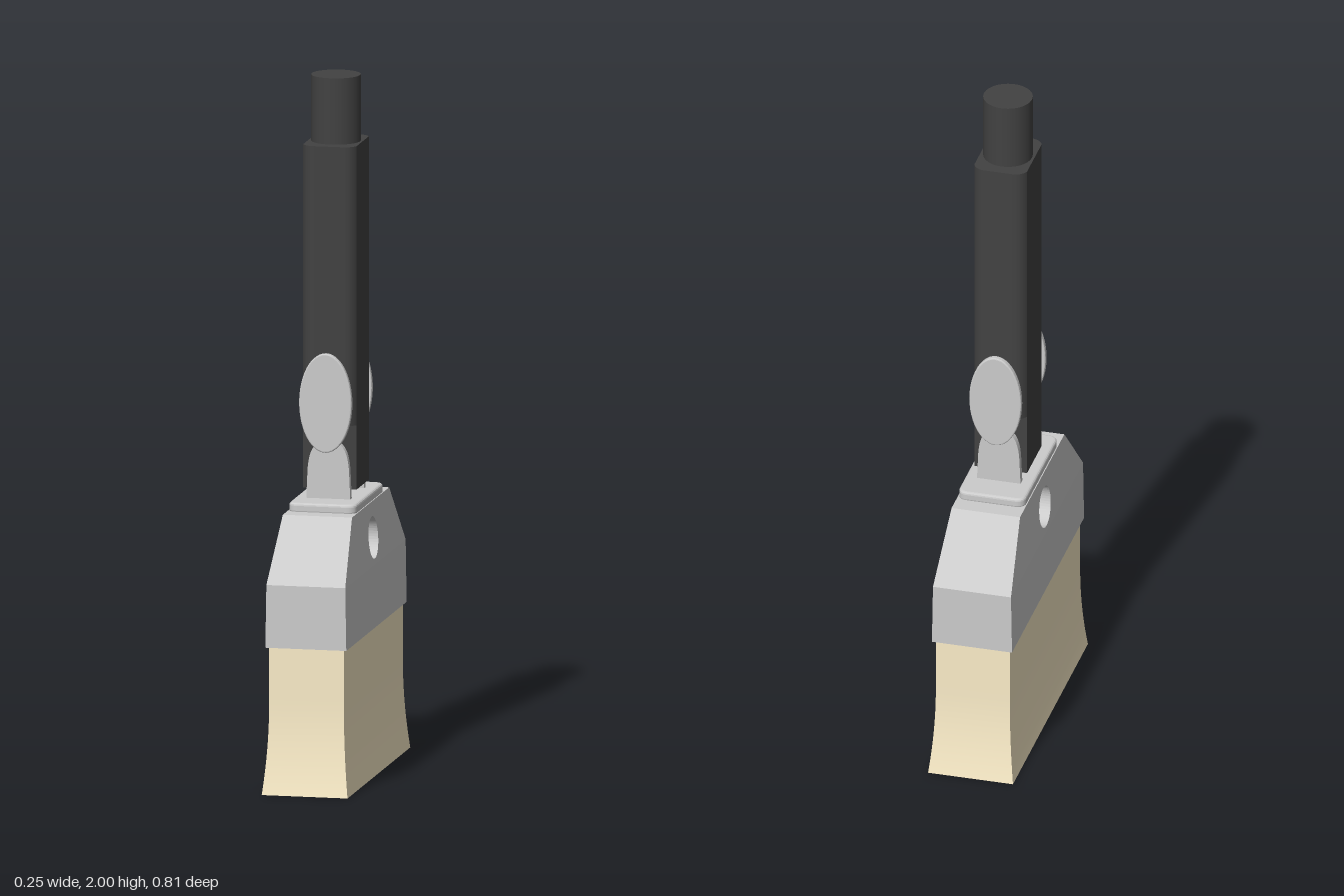
import * as THREE from 'three';

const metal = new THREE.MeshStandardMaterial({ color: 0xcccccc });
const dark = new THREE.MeshStandardMaterial({ color: 0x424242 });
const straw = new THREE.MeshStandardMaterial({ color: 0xfaecc8 });

function polygon(points) {
  return new THREE.Shape(points.map(([x, y]) => new THREE.Vector2(x, y)));
}

// Prism centred on its extrusion axis z
function prism(shape, depth, bevel = 0) {
  const g = new THREE.ExtrudeGeometry(shape, {
    depth: depth - 2 * bevel, curveSegments: 24, bevelEnabled: bevel > 0,
    bevelThickness: bevel, bevelSize: bevel, bevelOffset: -bevel, bevelSegments: 3,
  });
  return g.translate(0, 0, -depth / 2 + bevel);
}

function roundedRect(hx, hy, r) {
  const s = new THREE.Shape();
  s.moveTo(-hx + r, -hy);
  s.lineTo(hx - r, -hy).quadraticCurveTo(hx, -hy, hx, -hy + r);
  s.lineTo(hx, hy - r).quadraticCurveTo(hx, hy, hx - r, hy);
  s.lineTo(-hx + r, hy).quadraticCurveTo(-hx, hy, -hx, hy - r);
  s.lineTo(-hx, -hy + r).quadraticCurveTo(-hx, -hy, -hx + r, -hy);
  return s;
}

// Side-profile prism whose half thickness runs from a at y0 to b at y1
function taperedSide(shape, y0, y1, a, b) {
  const g = prism(shape, 2).rotateY(-Math.PI / 2);
  const p = g.attributes.position;
  for (let i = 0; i < p.count; i++) {
    const t = (p.getY(i) - y0) / (y1 - y0);
    p.setX(i, p.getX(i) * THREE.MathUtils.lerp(a, b, t));
  }
  g.computeVertexNormals();
  return g;
}

export function createModel() {
  const model = new THREE.Group();
  model.name = 'paintBrush';
  const add = (name, geometry, material, x = 0, y = 0, z = 0) => {
    const m = new THREE.Mesh(geometry, material);
    m.name = name;
    m.position.set(x, y, z);
    model.add(m);
    return m;
  };

  // Bristle block, flaring towards the tip
  const bristles = new THREE.BoxGeometry(2, 0.44, 2, 1, 24, 1).translate(0, 0.22, 0);
  const p = bristles.attributes.position;
  for (let i = 0; i < p.count; i++) {
    const flare = Math.max(0, 1 - p.getY(i) / 0.26) ** 2;
    p.setX(i, p.getX(i) * (0.108 + 0.016 * flare));
    p.setZ(i, p.getZ(i) * (0.381 + 0.025 * flare));
  }
  bristles.computeVertexNormals();
  add('bristles', bristles, straw);

  // Ferrule: straight band below, tapered shoulders with a hanging hole above
  const band = polygon([[-0.39, 0.42], [0.39, 0.42], [0.39, 0.6], [-0.39, 0.6]]);
  add('ferruleBand', taperedSide(band, 0.42, 0.6, 0.117, 0.114), metal);
  const shoulders = polygon([[-0.39, 0.6], [0.39, 0.6], [0.24, 0.775], [-0.24, 0.775]]);
  shoulders.holes.push(new THREE.Path().absarc(0, 0.675, 0.06, 0, Math.PI * 2, true));
  add('ferruleShoulders', taperedSide(shoulders, 0.6, 0.775, 0.114, 0.1), metal);

  // Mounting plate
  const plate = prism(roundedRect(0.098, 0.188, 0.03), 0.03, 0.008).rotateX(-Math.PI / 2);
  add('mountingPlate', plate, metal, 0, 0.785, 0);

  // Handle grip: flat sides with rounded front and back corners
  const grip = new THREE.Shape();
  grip.moveTo(-0.077, -0.08);
  grip.quadraticCurveTo(-0.065, -0.104, -0.04, -0.104).lineTo(0.04, -0.104);
  grip.quadraticCurveTo(0.065, -0.104, 0.077, -0.08).lineTo(0.077, 0.08);
  grip.quadraticCurveTo(0.065, 0.104, 0.04, 0.104).lineTo(-0.04, 0.104);
  grip.quadraticCurveTo(-0.065, 0.104, -0.077, 0.08).lineTo(-0.077, -0.08);
  add('handleGrip', prism(grip, 0.8).rotateX(-Math.PI / 2), dark, 0, 1.41, 0);
  add('handleCore', new THREE.BoxGeometry(0.154, 0.2, 0.158), dark, 0, 0.925, 0);
  add('handleEnd', new THREE.CylinderGeometry(0.07, 0.07, 0.2, 48), dark, 0, 1.9, 0);

  // Lug outline with a narrowed, rounded top
  const lug = new THREE.Shape();
  lug.moveTo(-0.064, 0.79);
  lug.lineTo(0.064, 0.79).lineTo(0.06, 0.88);
  lug.quadraticCurveTo(0.057, 0.93, 0.04, 0.95).quadraticCurveTo(0.025, 0.97, 0, 0.97);
  lug.quadraticCurveTo(-0.025, 0.97, -0.04, 0.95).quadraticCurveTo(-0.057, 0.93, -0.06, 0.88);
  const oval = new THREE.Shape().absellipse(0, 0, 0.076, 0.142, 0, Math.PI * 2, false, 0);

  // Lugs and oval wing tabs, front and back
  for (const [side, s] of [['front', 1], ['back', -1]]) {
    add(side + 'Lug', prism(lug, 0.02), metal, 0, 0, s * 0.09);
    add(side + 'WingTab', prism(oval, 0.018, 0.004), metal, 0, 1.08, s * 0.132);
  }
  return model;
}
